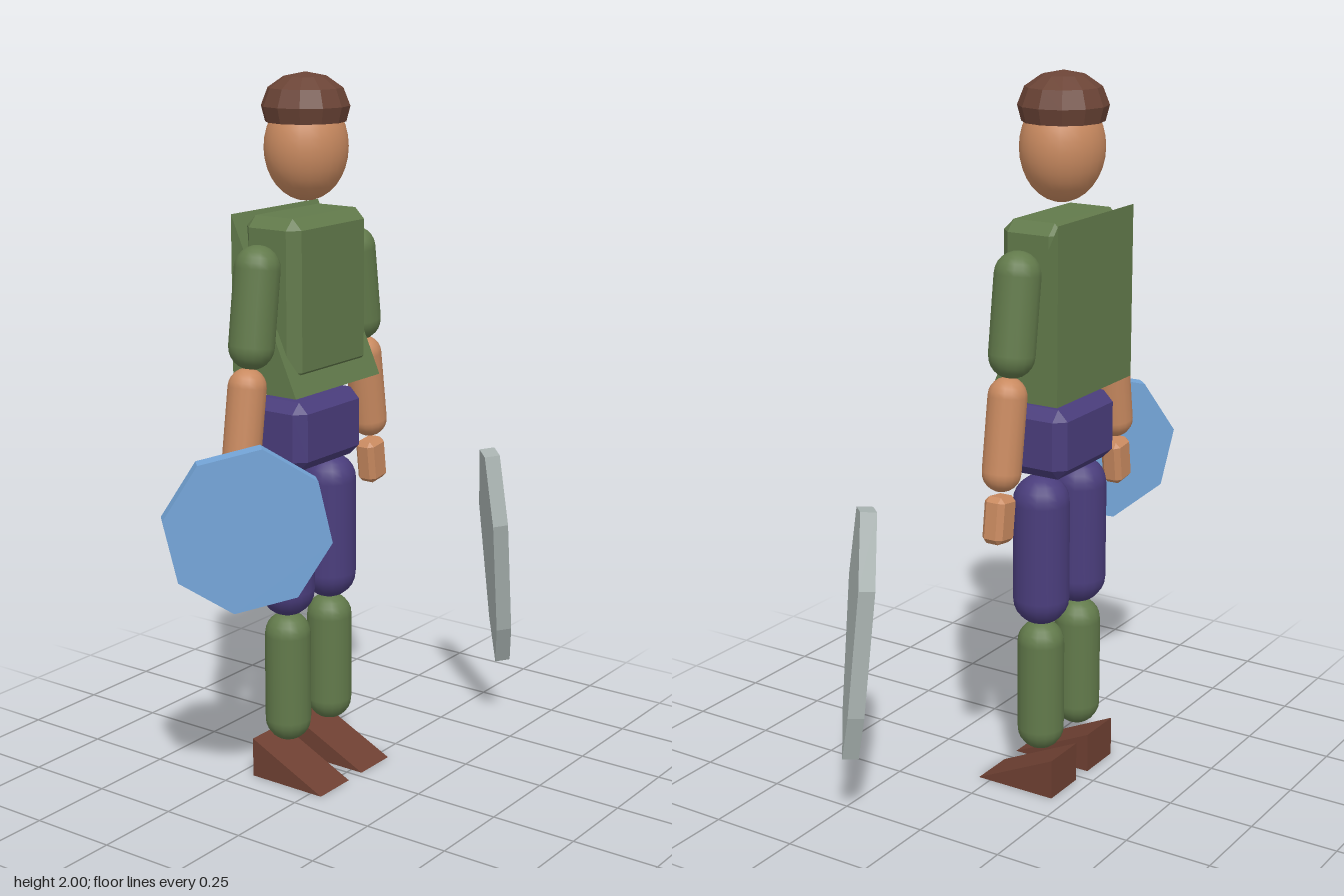
import * as THREE from 'three';
import { ConvexGeometry } from 'three/addons/geometries/ConvexGeometry.js';

const GREEN = 0x627a4b, PURPLE = 0x4a3d7c, SKIN = 0xc98a60, BROWN = 0x6e4032,
  HAIR = 0x6b4436, BLUE = 0x74a5d8, STEEL = 0xaab4b2;
const CX = -0.01, CZ = -0.128; // centre line of the figure

export function createModel() {
  const model = new THREE.Group();
  model.name = 'figure';

  const add = (name, geometry, color, x = 0, y = 0, z = 0, flatShading = false) => {
    const mesh = new THREE.Mesh(geometry, new THREE.MeshStandardMaterial({ color, flatShading }));
    mesh.name = name;
    mesh.position.set(x, y, z);
    model.add(mesh);
    return mesh;
  };

  // box with every edge and corner cut by c
  const chamferBox = (w, h, d, c) => {
    const points = [];
    for (const sx of [-1, 1]) for (const sy of [-1, 1]) for (const sz of [-1, 1]) {
      const x = w / 2, y = h / 2, z = d / 2;
      points.push(
        new THREE.Vector3(sx * x, sy * (y - c), sz * (z - c)),
        new THREE.Vector3(sx * (x - c), sy * y, sz * (z - c)),
        new THREE.Vector3(sx * (x - c), sy * (y - c), sz * z));
    }
    return new ConvexGeometry(points);
  };

  // flat outline pushed out to a thickness, centred on z = 0
  const slab = (points, depth) => {
    const shape = new THREE.Shape(points.map(([x, y]) => new THREE.Vector2(x, y)));
    return new THREE.ExtrudeGeometry(shape, { depth, bevelEnabled: false }).translate(0, 0, -depth / 2);
  };

  // ramp, tall at the back and sloping down to the front
  const wedge = (w, h, d) => slab([[0, 0], [d, 0], [0, h]], w).rotateY(-Math.PI / 2);

  // capsule between two end centres in the x-y plane
  const limb = (name, color, r, x0, y0, x1, y1) => {
    const length = Math.hypot(x1 - x0, y1 - y0);
    const mesh = add(name, new THREE.CapsuleGeometry(r, length, 6, 16), color,
      (x0 + x1) / 2, (y0 + y1) / 2, CZ);
    mesh.rotation.z = Math.atan2(x1 - x0, y0 - y1);
  };

  // head and hair
  const head = add('head', new THREE.SphereGeometry(1, 24, 16), SKIN, CX, 1.8, CZ);
  head.scale.set(0.122, 0.145, 0.112);
  const hairProfile = [[0, 1.865], [0.112, 1.868], [0.123, 1.91], [0.104, 1.958], [0.06, 1.988], [0, 2]]
    .map(([r, y]) => new THREE.Vector2(r, y));
  const hair = add('hair', new THREE.LatheGeometry(hairProfile, 12), HAIR, CX, 0, CZ - 0.002, true);
  hair.scale.z = 0.98;

  // trunk
  add('chest', chamferBox(0.345, 0.445, 0.185, 0.03), GREEN, CX, 1.403, CZ - 0.002);
  add('tunicBack', wedge(0.39, 0.48, 0.215), GREEN, CX, 1.15, -0.235);
  add('hips', chamferBox(0.3, 0.195, 0.185, 0.03), PURPLE, CX, 1.023, CZ - 0.002);

  // paired limbs
  for (const [side, s] of [['left', 1], ['right', -1]]) {
    const at = (x) => CX + s * x;
    limb(side + 'UpperArm', GREEN, 0.063, at(0.219), 1.497, at(0.247), 1.291);
    limb(side + 'Forearm', SKIN, 0.053, at(0.268), 1.183, at(0.297), 0.985);
    const hand = add(side + 'Hand', chamferBox(0.08, 0.127, 0.063, 0.014), SKIN, at(0.31), 0.858, CZ);
    hand.rotation.z = s * 0.13;
    limb(side + 'Thigh', PURPLE, 0.079, at(0.099), 0.845, at(0.099), 0.571);
    limb(side + 'Shin', GREEN, 0.066, at(0.099), 0.434, at(0.099), 0.18);
    add(side + 'Foot', wedge(0.135, 0.115, 0.243), BROWN, at(0.099), 0, -0.206);
  }

  // eight-sided shield, upright and turned outward
  const rim = [];
  for (let i = 0; i < 8; i++) {
    const a = THREE.MathUtils.degToRad(80 + i * 45);
    rim.push([0.226 * Math.cos(a), 0.226 * Math.sin(a)]);
  }
  add('shield', slab(rim, 0.049), BLUE, -0.442, 0.849, -0.002).rotation.y = -Math.PI / 4;

  // pointed blade, turned and leaning outward at the tip
  const half = [[0.034, 0.345], [0.09, 0.145], [0.049, -0.215]];
  const outline = [[0, -0.345], ...half.slice().reverse(), ...half.map(([x, y]) => [-x, y])];
  const blade = slab(outline, 0.045).rotateY(Math.PI / 4).rotateZ(0.145);
  add('blade', blade, STEEL, 0.533, 0.542, 0.168);

  return model;
}
